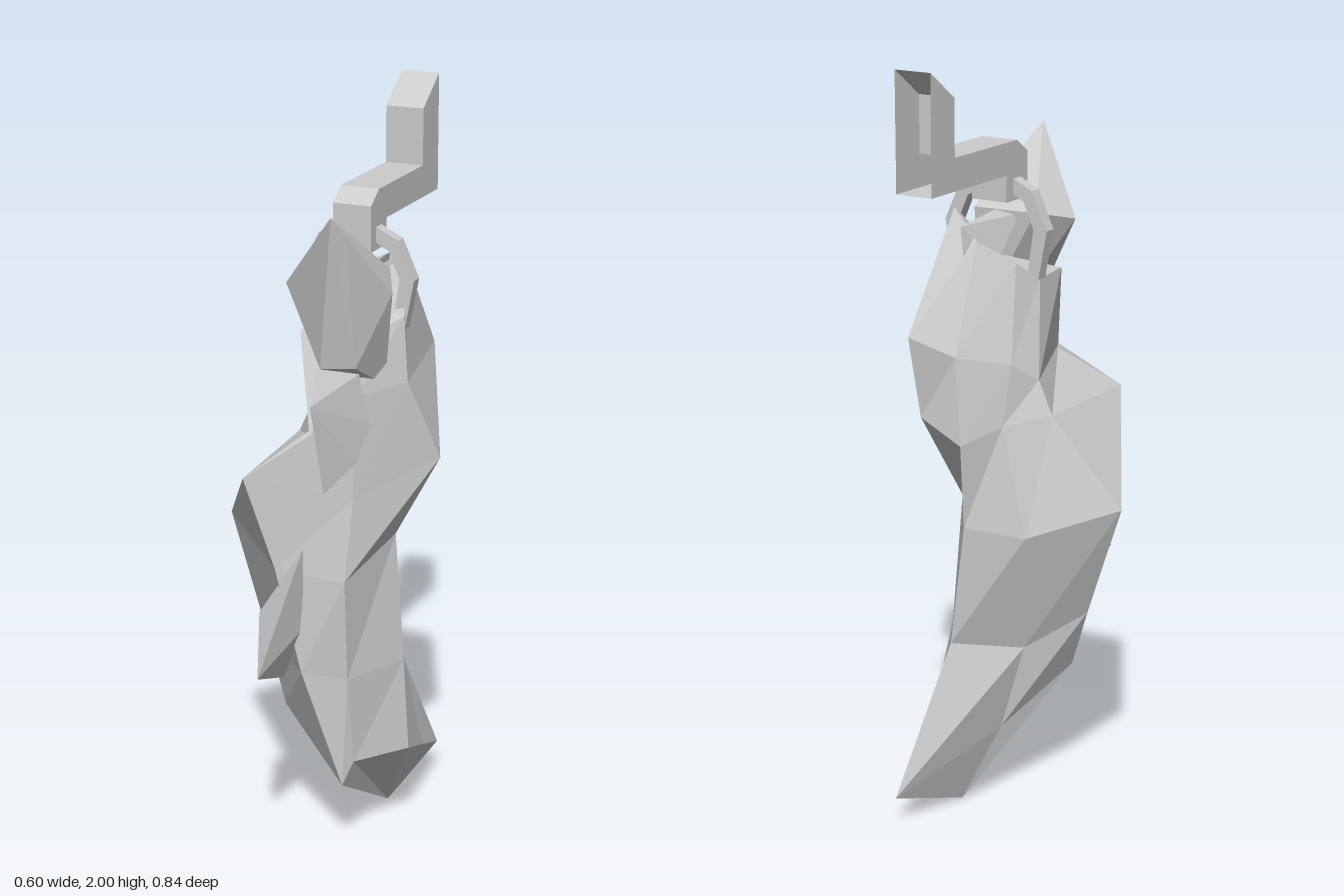
import * as THREE from 'three';
import { ConvexGeometry } from 'three/addons/geometries/ConvexGeometry.js';

const material = new THREE.MeshStandardMaterial({
  color: 0xcccccc, flatShading: true, side: THREE.DoubleSide,
});

function part(group, name, geometry) {
  const mesh = new THREE.Mesh(geometry, material);
  mesh.name = name;
  group.add(mesh);
  return mesh;
}

function fromTriangles(corners) {
  const g = new THREE.BufferGeometry();
  g.setAttribute('position', new THREE.Float32BufferAttribute(corners.flat(), 3));
  g.computeVertexNormals();
  return g;
}

// Joins rings of corners from bottom to top and closes both ends to a point
function loft(rings, bottom, top) {
  const out = [];
  const n = rings[0].length;
  const last = rings[rings.length - 1];
  for (let i = 0; i < n; i++) {
    const j = (i + 1) % n;
    out.push(bottom, rings[0][j], rings[0][i]);
    for (let r = 0; r < rings.length - 1; r++) {
      const [lo, hi] = [rings[r], rings[r + 1]];
      out.push(lo[i], lo[j], hi[j], lo[i], hi[j], hi[i]);
    }
    out.push(last[i], last[j], top);
  }
  return fromTriangles(out);
}

const hull = (points) => new ConvexGeometry(points.map((p) => new THREE.Vector3(...p)));

// Flat-sided hook: profile in (z, y), with the wall-side edge left open
function hookGeometry(profile, x0, x1, openEdge) {
  const out = [];
  const at = (x, [z, y]) => [x, y, z];
  profile.forEach((a, i) => {
    if (i === openEdge) return;
    const b = profile[(i + 1) % profile.length];
    out.push(at(x0, a), at(x1, a), at(x1, b), at(x0, a), at(x1, b), at(x0, b));
  });
  const faces = THREE.ShapeUtils.triangulateShape(profile.map((p) => new THREE.Vector2(...p)), []);
  for (const [a, b, c] of faces) {
    out.push(at(x0, profile[a]), at(x0, profile[b]), at(x0, profile[c]));
    out.push(at(x1, profile[a]), at(x1, profile[c]), at(x1, profile[b]));
  }
  return fromTriangles(out);
}

export function createModel() {
  const model = new THREE.Group();
  model.name = 'hangingCoat';

  // Draped body: each ring runs front, left, back, right
  const rings = [
    [[0.12, 0.2, 0.19], [0.14, 0.26, 0.16], [0.23, 0.25, 0], [0.19, 0.17, -0.2],
      [0.145, 0.08, -0.42], [0.02, 0.2, -0.1], [-0.1, 0.35, 0.07]],
    [[0.03, 0.53, 0.25], [0.13, 0.5, 0.18], [0.21, 0.5, -0.01], [0.165, 0.48, -0.11],
      [0.1, 0.46, -0.22], [-0.04, 0.43, -0.08], [-0.17, 0.52, 0.03]],
    [[-0.03, 0.82, 0.28], [0.13, 0.78, 0.2], [0.18, 0.85, -0.02], [0.125, 0.84, -0.12],
      [0.05, 0.79, -0.23], [-0.1, 0.77, -0.17], [-0.3, 0.84, -0.02]],
    [[-0.1, 1.07, 0.32], [0.14, 1.0, 0.17], [0.295, 1.07, -0.04], [0.16, 1.08, -0.26],
      [0.04, 1.02, -0.26], [-0.03, 1.06, -0.17], [-0.12, 1.08, -0.07]],
    [[0.05, 1.18, 0.24], [0.14, 1.27, 0.16], [0.235, 1.29, 0.04], [0.17, 1.3, -0.3],
      [0.06, 1.25, -0.25], [-0.04, 1.22, -0.14], [-0.08, 1.17, -0.07]],
    [[-0.02, 1.42, 0.14], [0.13, 1.4, 0.13], [0.22, 1.46, 0.03], [0.17, 1.6, -0.08],
      [0.07, 1.53, -0.13], [-0.01, 1.47, -0.07], [-0.04, 1.42, 0]],
  ];
  part(model, 'coatBody', loft(rings, [0.1, 0, -0.17], [0.08, 1.47, 0]));

  // Pointed collar folded forward at the top
  part(model, 'collar', hull([
    [0.14, 1.77, 0.31], [0.165, 1.72, 0.28], [-0.05, 1.55, 0.16], [0.08, 1.36, 0.24],
    [0.16, 1.36, 0.2], [0.235, 1.55, 0.145], [0.03, 1.42, 0.12], [0.18, 1.28, 0.06],
    [0, 1.58, 0.04], [0.18, 1.58, 0.03],
  ]));

  // Lapel fold hanging below the collar
  part(model, 'lapel', hull([
    [0.07, 1.36, 0.24], [0.16, 1.34, 0.18], [0.18, 1.2, 0.15], [0.15, 1.1, 0.17],
    [0.08, 1.02, 0.22], [0.07, 1.27, 0.28], [0.06, 1.2, 0.12],
  ]));

  // Crumpled cloth inside the neck
  part(model, 'neckFold', hull([
    [0.1, 1.57, -0.16], [0.09, 1.48, -0.16], [0.06, 1.57, 0.06],
    [0.12, 1.58, 0.06], [0.05, 1.47, -0.06],
  ]));

  // Stiff flap jutting from the front
  part(model, 'frontFlap', hull([
    [-0.015, 0.57, 0.42], [-0.08, 0.69, 0.27], [0.04, 0.88, 0.26],
    [0.03, 0.65, 0.24], [-0.02, 0.51, 0.25],
  ]));

  // Hanging loop: angular band, open at the bottom
  const half = [[0.13, 1.42], [0.155, 1.55], [0.11, 1.65], [0.05, 1.68]];
  const inner = [[0.04, 1.645], [0.085, 1.62], [0.115, 1.55], [0.095, 1.42]];
  const mirror = (pts) => pts.map(([x, y]) => [-x, y]).reverse();
  const outline = [...half, ...mirror(half), ...mirror(inner), ...inner];
  const loopShape = new THREE.Shape(outline.map(([x, y]) => new THREE.Vector2(x + 0.085, y)));
  const loop = part(model, 'hangingLoop',
    new THREE.ExtrudeGeometry(loopShape, { depth: 0.034, bevelEnabled: false }));
  loop.position.z = -0.017;

  // Wall hook with a raised back plate
  const profile = [[0.05, 1.62], [0.05, 1.74], [0, 1.775], [-0.29, 1.775], [-0.29, 1.925],
    [-0.395, 2], [-0.395, 1.69], [-0.05, 1.69], [-0.05, 1.62]];
  part(model, 'wallHook', hookGeometry(profile, 0.03, 0.135, 5));

  return model;
}
